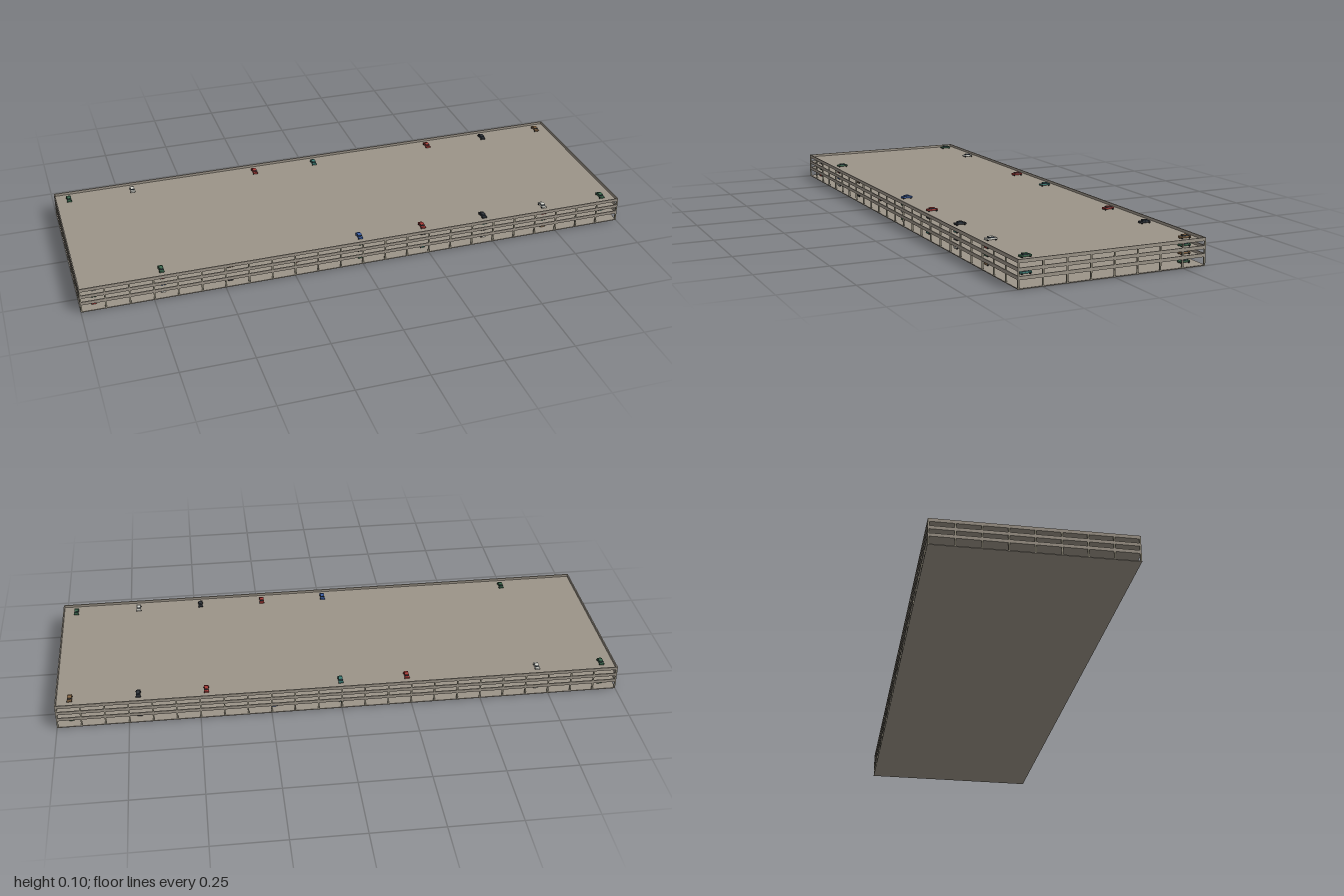
import * as THREE from 'three';

const mat = (color) => new THREE.MeshStandardMaterial({ color });
const concrete = mat(0x9c9488);
const columnMat = mat(0x9a9482);
const glass = mat(0x26303a);
const rubber = mat(0x151515);
const paints = [0x3f6b50, 0xd8d8d0, 0xa83c38, 0x3f8078, 0x30343a, 0x3f62a8, 0x8a6a48].map(mat);

const W = 2, D = 0.666;          // plan size
const BASE = 0.003;              // ground slab thickness
const LEVELS = [0.029, 0.055, 0.081]; // underside of each deck
const SLAB = 0.0025, BAND = 0.0115, WALL = 0.004, COL = 0.005;

function box(name, w, h, d, x, y, z, material) {
  const mesh = new THREE.Mesh(new THREE.BoxGeometry(w, h, d), material);
  mesh.name = name;
  mesh.position.set(x, y + h / 2, z); // y is the underside
  return mesh;
}

// Deck with a solid parapet around its edge
function makeDeck(y) {
  const deck = new THREE.Group();
  deck.name = 'deck';
  deck.add(box('deckSlab', W, SLAB, D, 0, y, 0, concrete));
  const h = BAND - SLAB;
  for (const s of [-1, 1]) {
    deck.add(box('longParapet', W, h, WALL, 0, y + SLAB, s * (D - WALL) / 2, concrete));
    deck.add(box('endParapet', WALL, h, D - 2 * WALL, s * (W - WALL) / 2, y + SLAB, 0, concrete));
  }
  return deck;
}

// Columns around the perimeter of one storey
function makeColumns(y0, y1) {
  const group = new THREE.Group();
  group.name = 'columns';
  const nx = 24, nz = 8;
  for (let i = 0; i <= nx; i++) {
    for (let k = 0; k <= nz; k++) {
      if (i > 0 && i < nx && k > 0 && k < nz) continue;
      const x = (i / nx - 0.5) * (W - COL), z = (k / nz - 0.5) * (D - COL);
      group.add(box('column', COL, y1 - y0, COL, x, y0, z, columnMat));
    }
  }
  return group;
}

// Small car, length along z
function makeCar(x, y, z, paint) {
  const car = new THREE.Group();
  car.name = 'car';
  car.add(box('carBody', 0.016, 0.0055, 0.039, 0, 0.003, 0, paint));
  car.add(box('carCabin', 0.014, 0.0036, 0.02, 0, 0.0085, 0, glass));
  car.add(box('carRoof', 0.014, 0.0009, 0.018, 0, 0.0121, 0, paint));
  const wheelGeo = new THREE.CylinderGeometry(0.003, 0.003, 0.003, 12).rotateZ(Math.PI / 2);
  for (const sx of [-1, 1]) {
    for (const sz of [-1, 1]) {
      const wheel = new THREE.Mesh(wheelGeo, rubber);
      wheel.name = 'wheel';
      wheel.position.set(sx * 0.0075, 0.003, sz * 0.0142);
      car.add(wheel);
    }
  }
  car.position.set(x, y, z);
  return car;
}

export function createModel() {
  const model = new THREE.Group();
  model.name = 'parkingGarage';
  model.add(box('groundSlab', W, BASE, D, 0, 0, 0, concrete));

  let from = BASE;
  for (const y of LEVELS) {
    model.add(makeColumns(from, y), makeDeck(y));
    from = y + BAND;
  }

  // Parked cars per floor: back row, front row; digit = paint, dot = empty bay
  const floors = [BASE, ...LEVELS.map((y) => y + SLAB)];
  const rows = [
    ['01..35.40', '214.0316.'],
    ['3.04.2106', '05.21.403'],
    ['40.2.1350', '126.0432.'],
    ['01.23.246', '.0..52410'],
  ];
  rows.forEach((pair, f) => pair.forEach((row, side) => {
    [...row].forEach((c, i) => {
      if (c === '.') return;
      model.add(makeCar((i - 4) * 0.2375, floors[f], side ? 0.285 : -0.285, paints[+c]));
    });
  }));
  return model;
}
